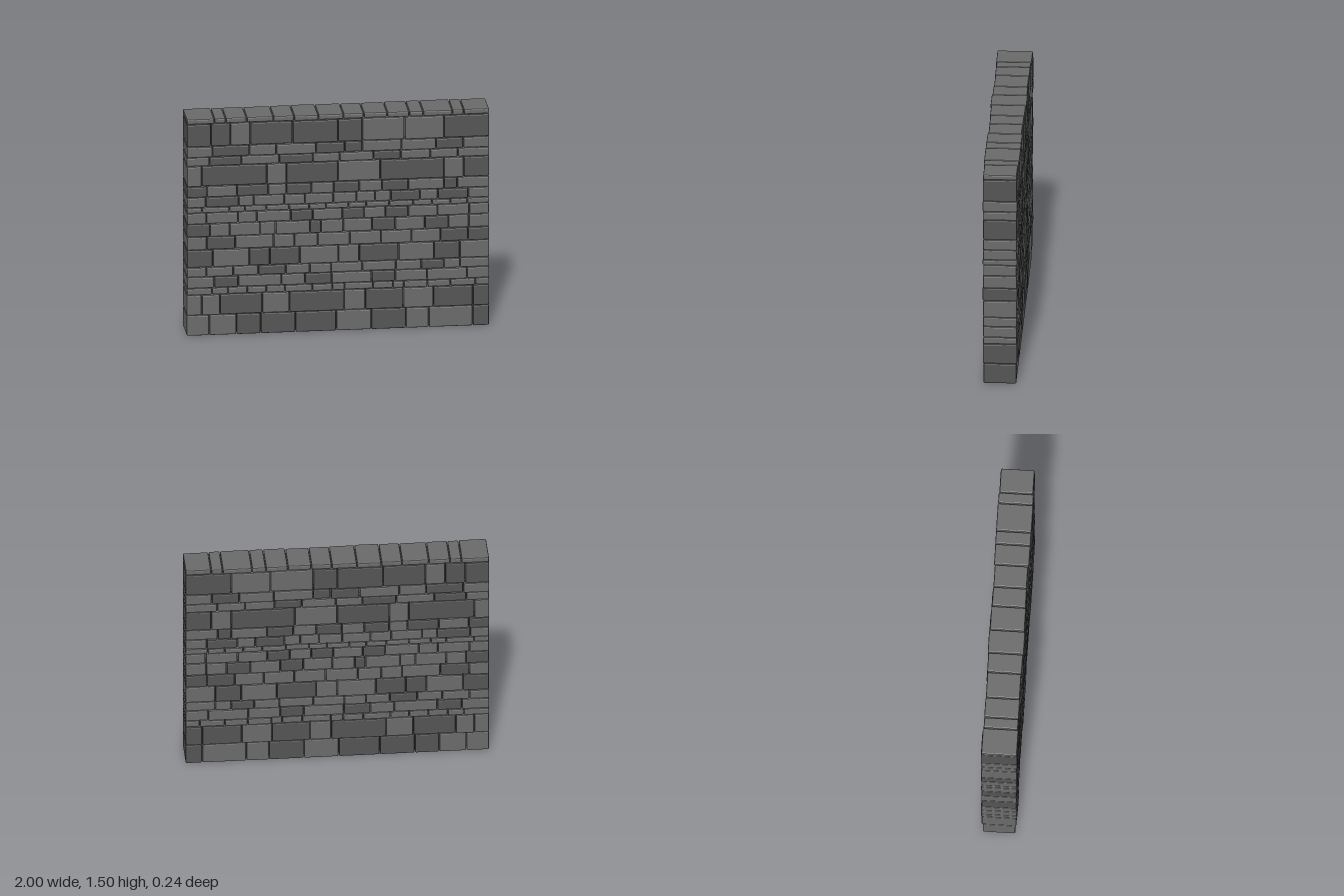
import * as THREE from 'three';
import { RoundedBoxGeometry } from 'three/addons/geometries/RoundedBoxGeometry.js';

// Courses from bottom to top: height of the upper edge, shade per stone
// (D dark, L light), and for the tall courses the x of each joint.
// Other courses are split into one uneven stone per letter.
const COURSES = [
  [0.142, 'LLDDDLDLLD', [-0.85, -0.67, -0.51, -0.28, -0.01, 0.22, 0.45, 0.6, 0.89]],
  [0.283, 'LLDLDLDLDD', [-0.9, -0.78, -0.5, -0.32, 0.04, 0.18, 0.43, 0.63, 0.89]],
  [0.33, 'LLLLLLLLLLLLLLL'],
  [0.407, 'LDLLDLDLLL'],
  [0.473, 'LLLDLLLLLDLL'],
  [0.593, 'DLDDLLDLDL'],
  [0.683, 'LDLLLLLLLDD'],
  [0.772, 'DLLLLDLLDLDLL'],
  [0.848, 'LLLLDLDLDLLL'],
  [0.886, 'LLLLLLLLLLLLLLL'],
  [0.957, 'LDLLLLLLLDLDL'],
  [1.032, 'DLDLDLDLDLDL'],
  [1.172, 'LDLDLDLD', [-0.9, -0.47, -0.34, 0, 0.28, 0.7, 0.83]],
  [1.233, 'LDLDLLDLLL'],
  [1.307, 'LDLLDDLLDL'],
  [1.463, 'DDLDDDLLD', [-0.84, -0.71, -0.58, -0.3, 0, 0.16, 0.44, 0.7]],
  [1.5, 'LLLLLLLLLLLLLL'],
];
const GAP = 0.004;
const BEVEL = 0.008;

function seeded(seed) {
  return () => {
    seed = (seed * 16807) % 2147483647;
    return seed / 2147483647;
  };
}

// Joints at an even spacing, each shifted a little sideways
function unevenJoints(count, random) {
  const step = 2 / count;
  return Array.from({ length: count - 1 }, (_, i) => -1 + step * (i + 1 + (random() - 0.5) * 0.6));
}

export function createModel() {
  const wall = new THREE.Group();
  wall.name = 'stoneWall';
  const random = seeded(417);
  const shades = {
    L: new THREE.MeshStandardMaterial({ color: 0x6a6a6a, flatShading: true }),
    D: new THREE.MeshStandardMaterial({ color: 0x545454, flatShading: true }),
  };

  let low = 0;
  COURSES.forEach(([high, pattern, joints = unevenJoints(pattern.length, random)], row) => {
    const course = new THREE.Group();
    course.name = row === COURSES.length - 1 ? 'copingCourse' : `course${row + 1}`;
    const edges = [-1, ...joints, 1];

    for (let i = 0; i < pattern.length; i++) {
      const width = edges[i + 1] - edges[i];
      const x = (edges[i] + edges[i + 1]) / 2;
      // Stones run through the wall, each projecting a little differently
      const wave = 0.003 * Math.cos(8 * (x + 0.17));
      const halfDepth = row === 0 ? 0.107 : 0.114 + wave + (random() - 0.5) * 0.006;
      const stone = new THREE.Mesh(
        new RoundedBoxGeometry(width - GAP, high - low - GAP / 2, halfDepth * 2, 1, BEVEL),
        shades[pattern[i]],
      );
      stone.name = 'stone';
      stone.position.set(x, (low + high) / 2, 0);
      course.add(stone);
    }
    wall.add(course);
    low = high;
  });
  return wall;
}
